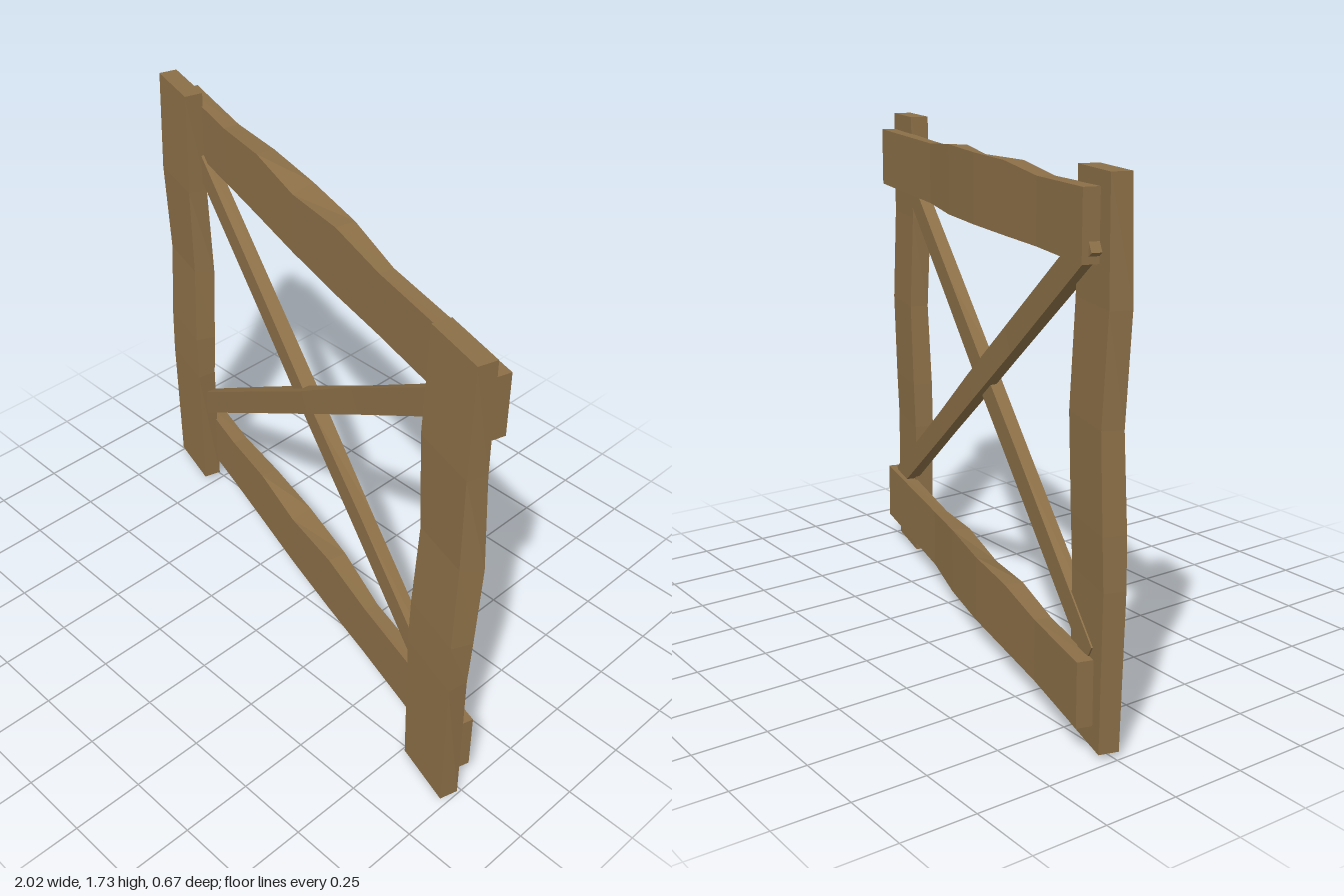
import * as THREE from 'three';

const wood = new THREE.MeshStandardMaterial({ color: 0x8b6f47, flatShading: true });

// Hewn plank from (x0,y0) to (x1,y1) at depths back..front. Each station is
// [t, frontTop, frontBottom, backTop, backBottom, frontShift, backShift].
function beam(name, [x0, y0], [x1, y1], width, back, front, stations) {
  const length = Math.hypot(x1 - x0, y1 - y0);
  const n = stations.length - 1;
  const geo = new THREE.BoxGeometry(1, 2, 2, n, 1, 1);
  const p = geo.attributes.position;
  for (let i = 0; i < p.count; i++) {
    const s = stations[Math.round((p.getX(i) + 0.5) * n)];
    const top = p.getY(i) > 0;
    const isFront = p.getZ(i) > 0;
    const bulge = s[(isFront ? 1 : 3) + (top ? 0 : 1)];
    p.setXYZ(
      i,
      (s[0] - 0.5) * length,
      (top ? 1 : -1) * (width / 2 + bulge),
      isFront ? front + s[5] : back + s[6]
    );
  }
  geo.computeVertexNormals();
  const mesh = new THREE.Mesh(geo, wood);
  mesh.name = name;
  mesh.position.set((x0 + x1) / 2, (y0 + y1) / 2, 0);
  mesh.rotation.z = Math.atan2(y1 - y0, x1 - x0);
  return mesh;
}

const end = (t) => [t, 0, 0, 0, 0, 0, 0];

export function createModel() {
  const group = new THREE.Group();
  group.name = 'fencePanel';

  // Upright posts; "top" is their right side, "bottom" their left side
  const postWave = [
    end(0),
    [0.3, 0.013, 0.003, 0.01, -0.004, 0.005, 0],
    [0.4, 0.012, -0.008, 0.005, 0.004, 0.003, -0.004],
    [0.58, 0.002, -0.014, -0.01, 0.018, -0.008, -0.008],
    [0.78, 0.012, 0, 0.008, 0.002, 0.004, 0],
    end(1),
  ];
  group.add(beam('rightPost', [-0.908, 0.02], [-0.908, 1.71], 0.22, -0.02, 0.045, postWave));
  group.add(beam('leftPost', [0.915, 0], [0.915, 1.725], 0.224, -0.02, 0.045, postWave));

  // Horizontal rails behind the posts
  const railWave = [
    end(0),
    [0.17, -0.008, 0.002, -0.006, 0, 0, 0],
    [0.3, 0.012, 0.005, 0.014, 0.004, 0.002, -0.006],
    [0.43, -0.01, 0.01, 0.014, 0.006, 0.004, -0.014],
    [0.57, 0.012, 0.012, 0.016, 0.01, 0.002, -0.008],
    [0.7, -0.008, 0.006, -0.004, 0.004, 0, 0.008],
    end(1),
  ];
  group.add(beam('topRail', [-0.955, 1.56], [1.02, 1.56], 0.21, -0.072, -0.015, railWave));
  group.add(beam('bottomRail', [-0.97, 0.195], [1.005, 0.195], 0.21, -0.072, -0.015, railWave));

  // Crossed diagonal braces
  const braceWave = [
    end(0),
    [0.33, -0.003, -0.002, 0.003, 0.004, 0, 0],
    [0.52, -0.004, -0.003, 0.002, 0.004, 0.002, -0.002],
    [0.7, 0.002, -0.003, -0.002, 0.003, 0, 0],
    end(1),
  ];
  group.add(beam('frontBrace', [-0.94, 0.3], [0.93, 1.54], 0.086, -0.025, 0.02, braceWave));
  group.add(beam('backBrace', [-0.95, 1.525], [0.93, 0.275], 0.086, -0.052, -0.005, braceWave));

  // The whole panel stands at an angle
  group.rotation.y = -0.279;
  const model = new THREE.Group();
  model.name = 'fence';
  model.add(group);
  return model;
}
